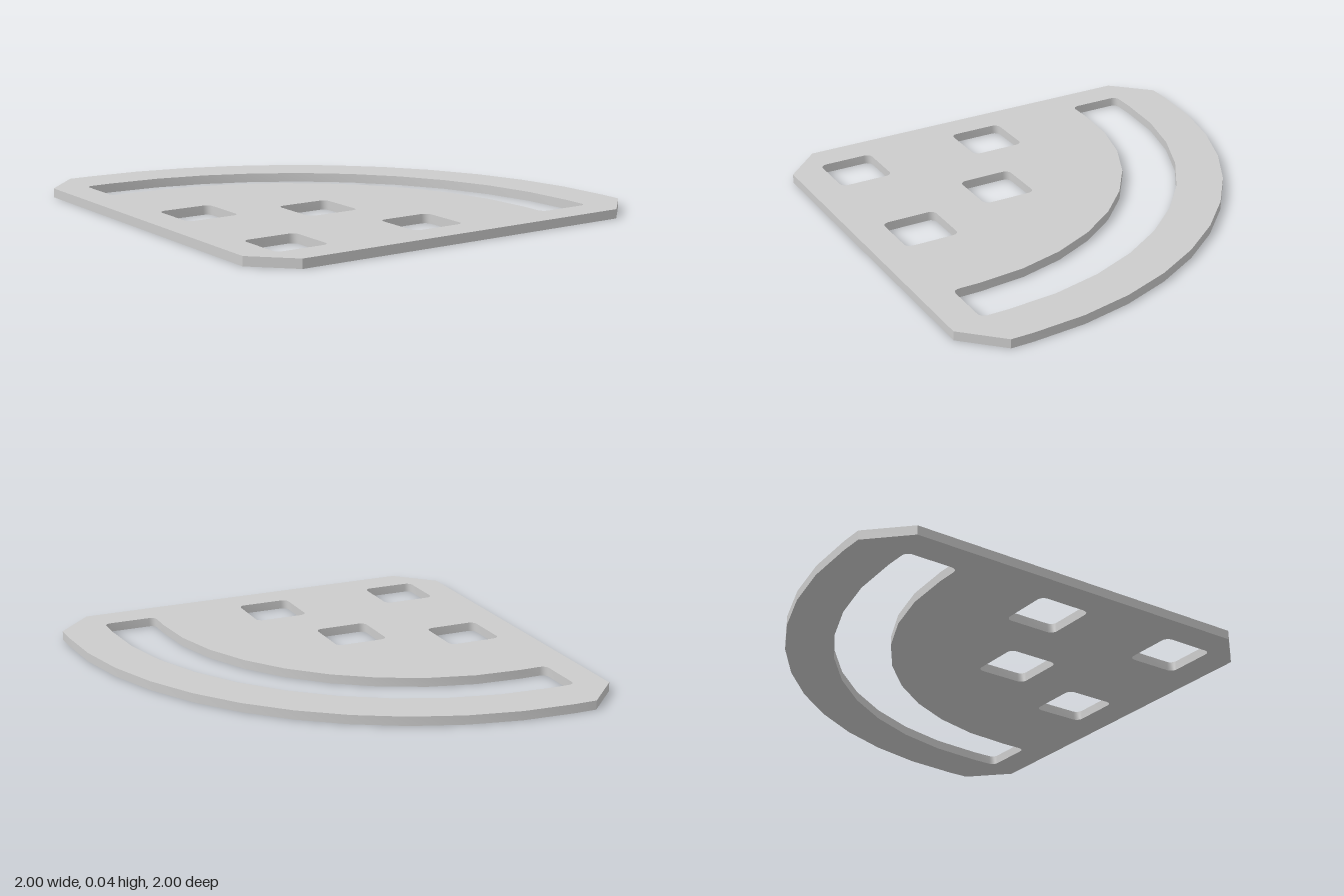
import * as THREE from 'three';
import { toCreasedNormals } from 'three/addons/utils/BufferGeometryUtils.js';

const C = 0.725;          // arc centre sits at (-C, -C) in the plan
const T = 0.042;          // plate thickness
const HALF = 0.1275;      // half width of the windows and the slot
const R = 0.03;           // corner rounding

// Points along an arc, both ends included
function arc(cx, cy, r, from, to, n) {
  return Array.from({ length: n + 1 }, (_, i) => {
    const a = from + (to - from) * i / n;
    return new THREE.Vector2(cx + r * Math.cos(a), cy + r * Math.sin(a));
  });
}

// Rounded square window
function windowHole(x, y) {
  const k = HALF - R, q = Math.PI / 2;
  const pts = [[1, 1], [-1, 1], [-1, -1], [1, -1]].flatMap(([sx, sy], i) =>
    arc(x + sx * k, y + sy * k, R, i * q, (i + 1) * q, 4));
  return new THREE.Path(pts);
}

// Quarter-circle slot with straight, rounded ends
function slotHole() {
  const q = Math.PI / 2, inner = 1.255, outer = inner + 2 * HALF;
  const end = -C - HALF + R;
  return new THREE.Path([
    ...arc(-C, -C, outer, 0, q, 10),
    ...arc(end, -C + outer - R, R, q, 2 * q, 4),
    ...arc(end, -C + inner + R, R, 2 * q, 3 * q, 4),
    ...arc(-C, -C, inner, q, 0, 9),
    ...arc(-C + inner + R, end, R, 2 * q, 3 * q, 4),
    ...arc(-C + outer - R, end, R, 3 * q, 4 * q, 4),
  ]);
}

export function createModel() {
  const group = new THREE.Group();
  group.name = 'quadrantPlate';

  // Quadrant outline with three clipped corners
  const outline = [[-0.83, 1], [-1, 0.83], [-1, -0.83], [-0.83, -1], [0.83, -1], [1, -0.83]]
    .map(([x, y]) => new THREE.Vector2(x, y));
  const shape = new THREE.Shape([...arc(-C, -C, 1 + C, 0, Math.PI / 2, 11), ...outline]);

  // Four windows and the curved slot
  shape.holes.push(slotHole());
  for (const [x, y] of [[-0.727, -0.03], [-0.238, -0.233], [-0.727, -0.723], [-0.037, -0.723]]) {
    shape.holes.push(windowHole(x, y));
  }

  // Lay the plate flat on the ground
  const geometry = new THREE.ExtrudeGeometry(shape, { depth: T, bevelEnabled: false });
  geometry.rotateX(-Math.PI / 2);
  const plate = new THREE.Mesh(
    toCreasedNormals(geometry, Math.PI / 6),
    new THREE.MeshStandardMaterial({ color: 0xcccccc }));
  plate.name = 'plate';
  group.add(plate);
  return group;
}
